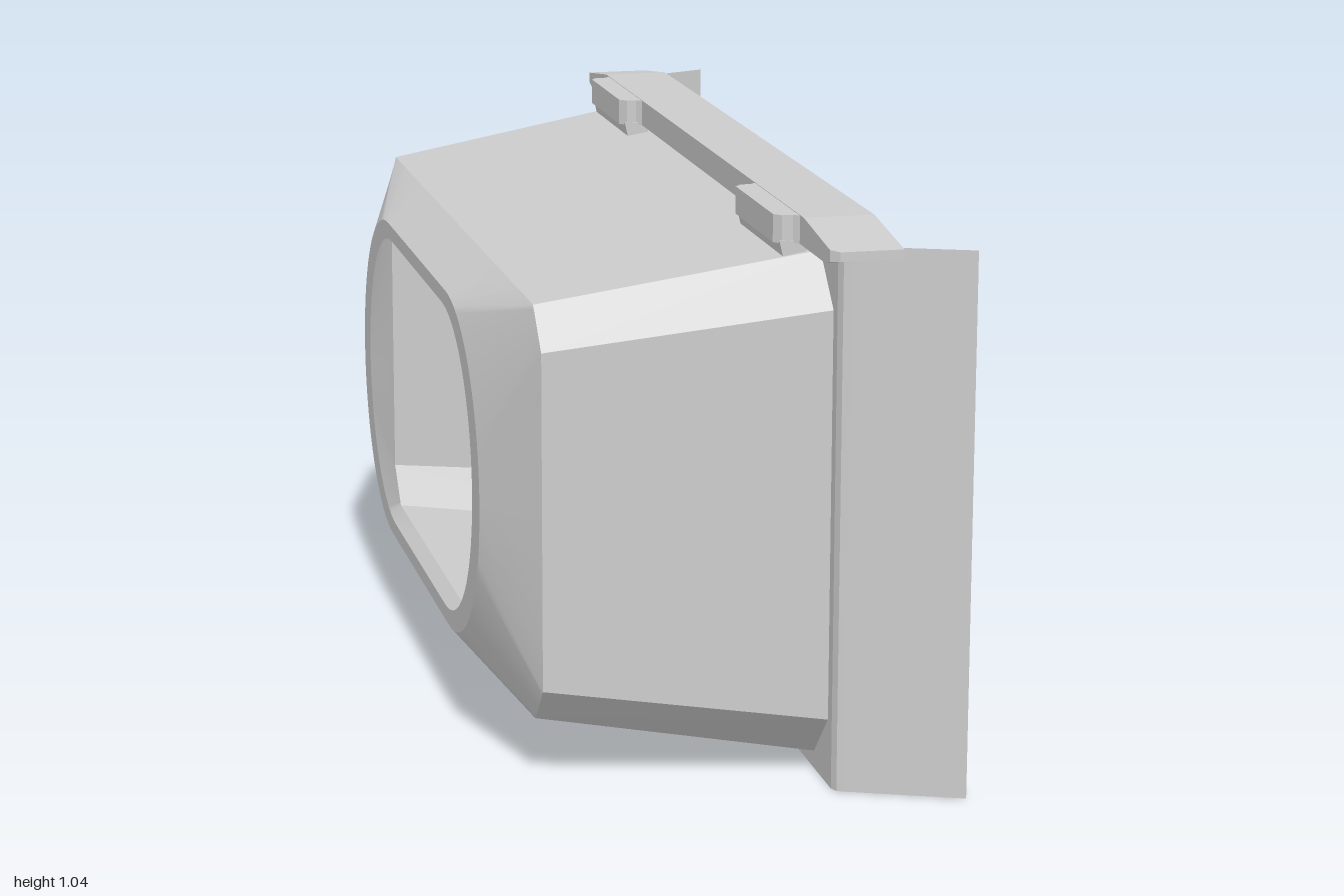
import * as THREE from 'three';

const material = new THREE.MeshStandardMaterial({ color: 0xcccccc, side: THREE.DoubleSide });
const CY = 0.503; // height of the horizontal mid-plane

// Skin a series of equal-length point rings
function loft(rings, { closed = true, flat = true, caps = false } = {}) {
  const n = rings[0].length;
  const index = [];
  for (let r = 0; r < rings.length - 1; r++) {
    for (let i = 0; i < (closed ? n : n - 1); i++) {
      const j = (i + 1) % n;
      const a = r * n + i, b = r * n + j, c = a + n, d = b + n;
      index.push(a, b, d, a, d, c);
    }
  }
  if (caps) {
    const e = (rings.length - 1) * n;
    for (let i = 1; i < n - 1; i++) index.push(0, i + 1, i, e, e + i, e + i + 1);
  }
  let g = new THREE.BufferGeometry();
  g.setAttribute('position', new THREE.Float32BufferAttribute(rings.flat(2), 3));
  g.setIndex(index);
  if (flat) g = g.toNonIndexed();
  g.computeVertexNormals();
  return g;
}

// Chamfered rectangle in (z, y), with half sizes and the ends of the chamfers
const octagon = (hz, hy, cz, cy) => [
  [hz, -cy], [hz, cy], [cz, hy], [-cz, hy], [-hz, cy], [-hz, -cy], [-cz, -hy], [cz, -hy],
];
const atX = (x, pts) => pts.map(([z, y]) => [x, CY + y, z]);

// Full loop from a quarter curve, angle 0 (side) to 90 (top)
function quadrants(fn) {
  const pts = [];
  for (let q = 0; q < 4; q++) {
    const sz = q === 1 || q === 2 ? -1 : 1, sy = q < 2 ? 1 : -1;
    for (let k = 0; k <= 18; k++) {
      const a = (q % 2 ? 18 - k : k) * 5;
      if (q > 1 && a === 0) continue;
      const [z, y] = fn(a);
      pts.push([sz * z, sy * y]);
    }
  }
  return pts;
}
const stadium = (straight, r) => quadrants((a) => {
  const t = THREE.MathUtils.degToRad(a);
  return [straight + r * Math.cos(t), r * Math.sin(t)];
});
const octagonLoop = quadrants((a) => {
  if (a <= 20) return [0.8, 0.3125 * a / 20];
  if (a <= 75) {
    const t = (a - 20) / 55;
    return [0.8 - 0.07 * t, 0.3125 + 0.0725 * t];
  }
  return [0.73 - 0.41 * (a - 75) / 15, 0.385];
});

export function createModel() {
  const group = new THREE.Group();
  const add = (name, geometry) => {
    const mesh = new THREE.Mesh(geometry, material);
    mesh.name = name;
    group.add(mesh);
    return mesh;
  };

  // Tapered eight-sided housing, open at both ends
  const mouth = octagon(0.87, 0.47, 0.78, 0.38);
  add('housing', loft([atX(-0.325, octagon(0.8, 0.385, 0.73, 0.3125)), atX(0.187, mouth)]));

  // Smooth transition to the long round opening, and its flat rim
  const outer = atX(-0.41, stadium(0.325, 0.327));
  add('nozzle', loft([outer, atX(-0.325, octagonLoop)], { flat: false }));
  add('nozzleRim', loft([atX(-0.41, stadium(0.283, 0.297)), outer]));

  // Flat flange around the mouth
  const flange = new THREE.Shape();
  flange.moveTo(-0.895, 0).lineTo(0.895, 0).lineTo(0.895, 1.005).lineTo(-0.895, 1.005).closePath();
  flange.holes.push(new THREE.Path(mouth.map(([z, y]) => new THREE.Vector2(-z, CY + y))));
  const flangeGeometry = new THREE.ShapeGeometry(flange);
  flangeGeometry.rotateY(Math.PI / 2).translate(0.187, 0, 0);
  add('flange', flangeGeometry);

  // Thin side plates flaring outward
  for (const s of [1, -1]) {
    const section = [[0.187, 0.895], [0.193, 0.91], [0.205, 0.916], [0.41, 1]];
    const ring = (y) => section.map(([x, z]) => [x, y, s * z]);
    const rings = [ring(0), ring(1.007)];
    add(s > 0 ? 'leftPlate' : 'rightPlate', loft(s > 0 ? rings.reverse() : rings, { closed: false }));
  }

  // Top bar, thinning towards its ends: z, x from, x to, y from, y to
  const half = [
    [0.985, 0.165, 0.28, 0.995, 1.012], [0.97, 0.15, 0.28, 0.993, 1.014],
    [0.94, 0.15, 0.28, 0.985, 1.018], [0.8, 0.15, 0.28, 0.985, 1.037],
  ];
  const stations = [...half.map(([z, ...r]) => [-z, ...r]), ...half.slice().reverse()];
  add('topBar', loft(stations.map(([z, x0, x1, y0, y1]) =>
    [[x0, y0, z], [x1, y0, z], [x1, y1, z], [x0, y1, z]]), { caps: true }));

  for (const s of [1, -1]) {
    const side = s > 0 ? 'left' : 'right';

    // Tab behind the bar with cut corners
    const tab = new THREE.Shape();
    tab.moveTo(0.16, 0.46).lineTo(0.15, 0.46).lineTo(0.14, 0.47).lineTo(0.12, 0.47).lineTo(0.107, 0.485)
      .lineTo(0.107, 0.75).lineTo(0.12, 0.765).lineTo(0.14, 0.765).lineTo(0.15, 0.775).lineTo(0.16, 0.775);
    const tabGeometry = new THREE.ExtrudeGeometry(tab, { depth: 0.051, bevelEnabled: false });
    tabGeometry.rotateX(Math.PI / 2).translate(0, 1.036, s > 0 ? 0 : -1.235);
    add(side + 'Tab', tabGeometry);

    // Hook reaching through the roof and under the flange
    const hook = new THREE.Shape();
    hook.moveTo(0.115, 0.99).lineTo(0.133, 0.91).lineTo(0.25, 0.91).lineTo(0.25, 0.965)
      .lineTo(0.165, 0.965).lineTo(0.165, 0.99);
    const hookGeometry = new THREE.ExtrudeGeometry(hook, { depth: 0.3, bevelEnabled: false });
    hookGeometry.translate(0, 0, s > 0 ? 0.467 : -0.767);
    add(side + 'Hook', hookGeometry);
  }
  return group;
}
